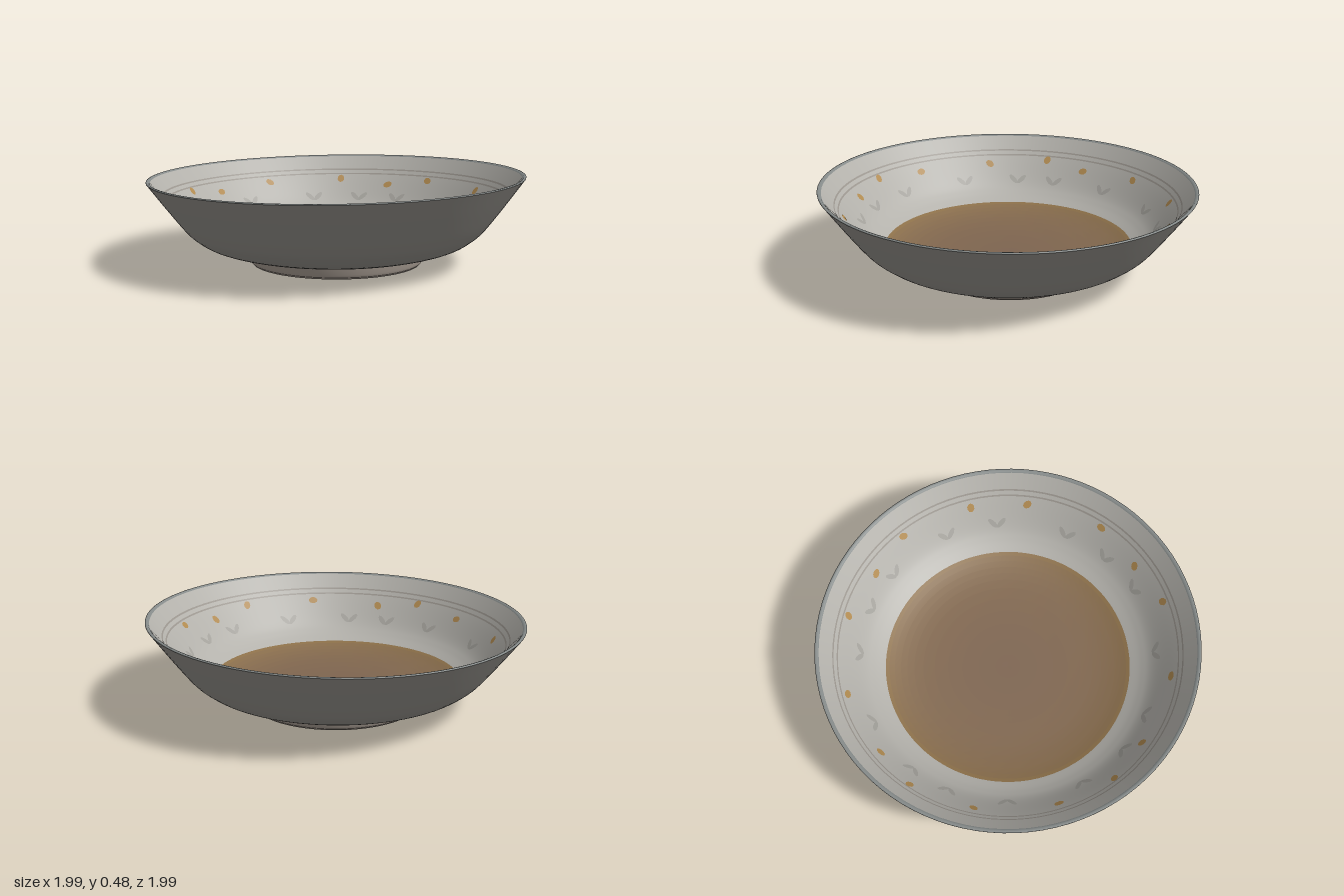
import * as THREE from 'three';

const SEGMENTS = 96;

// Handmade unevenness: the rim leans slightly and the wall wavers a little.
function warp(geometry) {
  const p = geometry.attributes.position;
  for (let i = 0; i < p.count; i++) {
    const x = p.getX(i), y = p.getY(i), z = p.getZ(i);
    const a = Math.atan2(z, x), h = y / 0.47;
    const k = 1 + 0.002 * h * Math.sin(3 * a + 0.6);
    p.setXYZ(i, x * k, y + h * (0.01 * x + 0.014 * z), z * k);
  }
  return geometry;
}

function part(name, geometry, color) {
  const mesh = new THREE.Mesh(
    warp(geometry),
    new THREE.MeshStandardMaterial({ color, side: THREE.DoubleSide })
  );
  mesh.name = name;
  return mesh;
}

const vectors = (pairs) => pairs.map(([r, y]) => new THREE.Vector2(r, y));
const smooth = (pairs) => new THREE.SplineCurve(vectors(pairs));
const lathe = (points) => new THREE.LatheGeometry(points, SEGMENTS);

export function createModel() {
  const bowl = new THREE.Group();
  bowl.name = 'bowl';

  // Outer wall, from the foot up to the rim
  const outer = smooth([[0.45, 0.06], [0.58, 0.087], [0.68, 0.118], [0.745, 0.157],
    [0.8, 0.208], [0.9, 0.335], [0.996, 0.464]]);
  bowl.add(part('outerWall', lathe(outer.getPoints(28)), 0x94918b));

  // Rounded lip
  bowl.add(part('rim', lathe(vectors([[0.996, 0.464], [0.996, 0.468], [0.99, 0.47],
    [0.981, 0.468], [0.975, 0.462]])), 0x858a89));

  // Inner wall, from the rim down to the stained floor
  const inner = smooth([[0.975, 0.462], [0.88, 0.348], [0.78, 0.226], [0.72, 0.174],
    [0.66, 0.138]]);
  bowl.add(part('innerWall', lathe(inner.getPoints(32)), 0xb3b1ab));

  // Dished brown floor, darker towards the middle
  const floor = new THREE.Group();
  floor.name = 'brownFloor';
  const bands = 12;
  const dish = smooth([[0.66, 0.138], [0.58, 0.112], [0.46, 0.094], [0.25, 0.086], [0, 0.084]]);
  const deep = new THREE.Color(0x7d6450), shallow = new THREE.Color(0x8c7049);
  for (let i = 0; i < bands; i++) {
    const span = [0, 0.5, 1].map((s) => dish.getPoint((i + s) / bands));
    const tint = shallow.clone().lerp(deep, Math.sqrt(i / (bands - 1)));
    floor.add(part('floorBand', lathe(span), tint));
  }
  bowl.add(floor);

  // Foot ring: flared outside, narrow base, upright inside, each with a crisp edge
  const foot = new THREE.Group();
  foot.name = 'footRing';
  [
    ['footOutside', [[0.456, 0.016], [0.463, 0.03], [0.47, 0.066]]],
    ['footBase', [[0.425, 0.013], [0.435, 0.006], [0.448, 0.006], [0.456, 0.016]]],
    ['footInside', [[0.415, 0.045], [0.425, 0.013]]],
  ].forEach(([name, pairs]) => foot.add(part(name, lathe(vectors(pairs)), 0xa59a90)));

  // Recessed underside within the foot
  const under = new THREE.CircleGeometry(0.417, SEGMENTS).rotateX(Math.PI / 2);
  under.translate(0, 0.045, 0);
  foot.add(part('underside', under, 0x85817a));
  foot.position.set(0.008, 0, -0.006);
  bowl.add(foot);

  // Point on the inner wall at a given radius, with the slope of the wall there
  const wallAt = (radius) => {
    let t = 0;
    while (t < 1 && inner.getPoint(t).x > radius) t += 0.002;
    const s = inner.getTangent(t);
    return { y: inner.getPoint(t).y, slope: Math.atan2(-s.y, -s.x) };
  };

  // Two thin painted bands below the rim
  [0.912, 0.892].forEach((r) => {
    const a = wallAt(r - 0.003), b = wallAt(r + 0.003);
    const band = lathe(vectors([[r + 0.003, b.y + 0.002], [r - 0.003, a.y + 0.002]]));
    bowl.add(part('paintedBand', band, 0x9a958e));
  });

  // Small painted blossoms and leaf sprigs around the inner wall
  const decal = (name, angle, radius, width, length, turn, color) => {
    const { y, slope } = wallAt(radius);
    const g = new THREE.CircleGeometry(1, 10).scale(length, width, 1).rotateZ(turn);
    g.rotateX(-Math.PI / 2).rotateZ(slope).translate(radius, y + 0.004, 0).rotateY(angle);
    bowl.add(part(name, g, color));
  };
  const count = 16;
  for (let i = 0; i < count; i++) {
    const a = (i / count) * Math.PI * 2 + 0.08 * Math.sin(i * 1.7);
    decal('blossom', a, 0.86 + 0.015 * Math.sin(i * 2.3), 0.02, 0.026, i, 0xb08a50);
    for (const side of [-1, 1]) {
      decal('leaf', a + 0.2 + side * 0.03, 0.79, 0.014, 0.036, side * 0.7, 0xa3a19b);
    }
  }
  return bowl;
}
